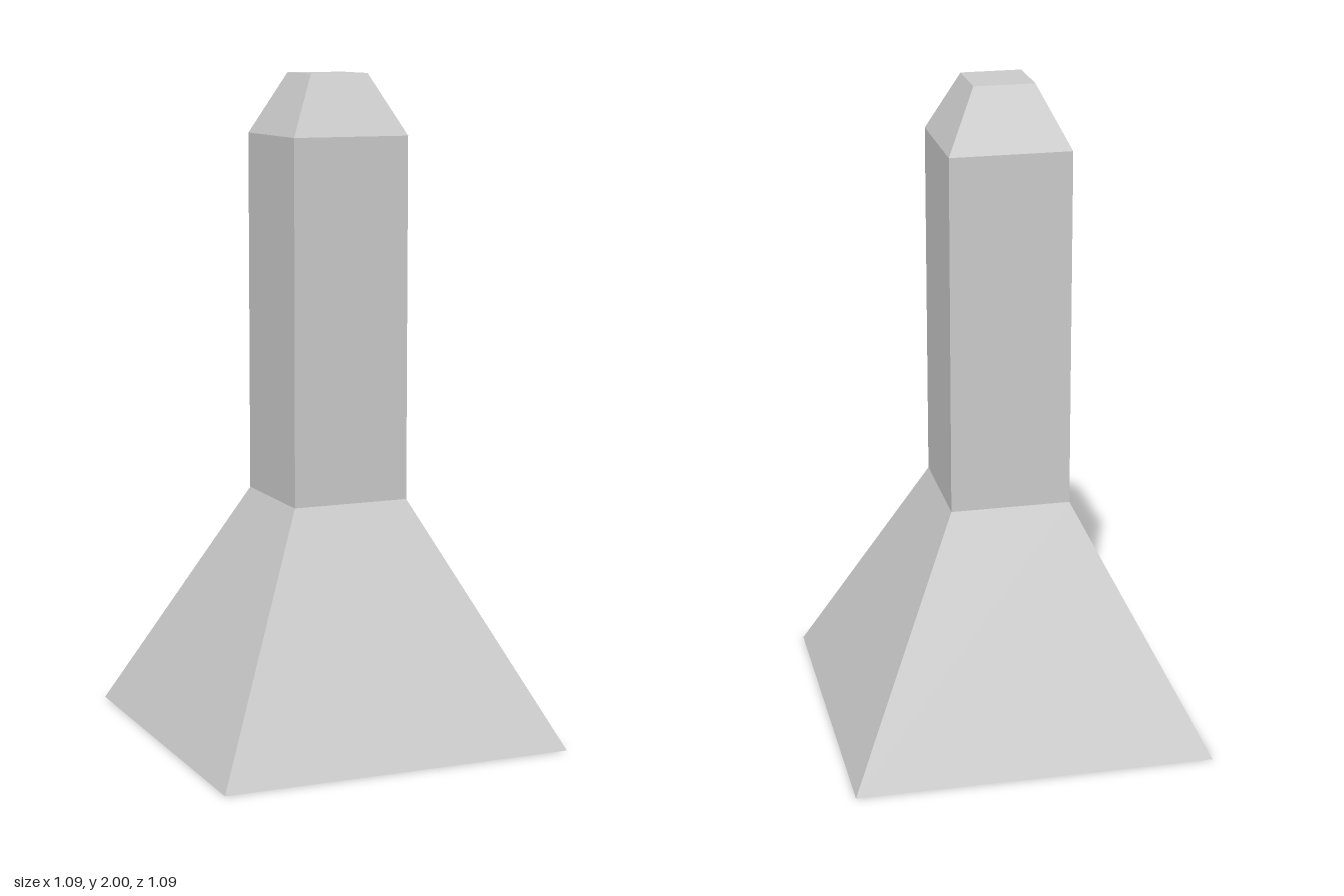
import * as THREE from 'three';

const material = new THREE.MeshStandardMaterial({ color: 0xcccccc, flatShading: true });

// Square frustum side walls, given half-widths and the bottom and top heights
function squareSection(name, bottomHalf, topHalf, y0, y1) {
  const geometry = new THREE.CylinderGeometry(
    topHalf * Math.SQRT2, bottomHalf * Math.SQRT2, y1 - y0, 4, 1, true
  ).rotateY(Math.PI / 4).translate(0, (y0 + y1) / 2, 0).toNonIndexed();
  geometry.computeVertexNormals();
  const mesh = new THREE.Mesh(geometry, material);
  mesh.name = name;
  return mesh;
}

// Flat square closing an end; facing is +1 for up, -1 for down
function squareCap(name, half, y, facing) {
  const geometry = new THREE.PlaneGeometry(half * 2, half * 2)
    .rotateX(-facing * Math.PI / 2).translate(0, y, 0);
  const mesh = new THREE.Mesh(geometry, material);
  mesh.name = name;
  return mesh;
}

export function createModel() {
  const baseHalf = 6 / 11, shaftHalf = 2 / 11, tipHalf = 1 / 11;
  const shaftBottom = 8 / 11, shaftTop = 20 / 11, height = 2;

  const group = new THREE.Group();
  group.name = 'squarePost';
  group.add(
    squareCap('baseUnderside', baseHalf, 0, -1),
    squareSection('flaredBase', baseHalf, shaftHalf, 0, shaftBottom),
    squareSection('shaft', shaftHalf, shaftHalf, shaftBottom, shaftTop),
    squareSection('taperedTip', shaftHalf, tipHalf, shaftTop, height),
    squareCap('tipTop', tipHalf, height, 1)
  );
  return group;
}
